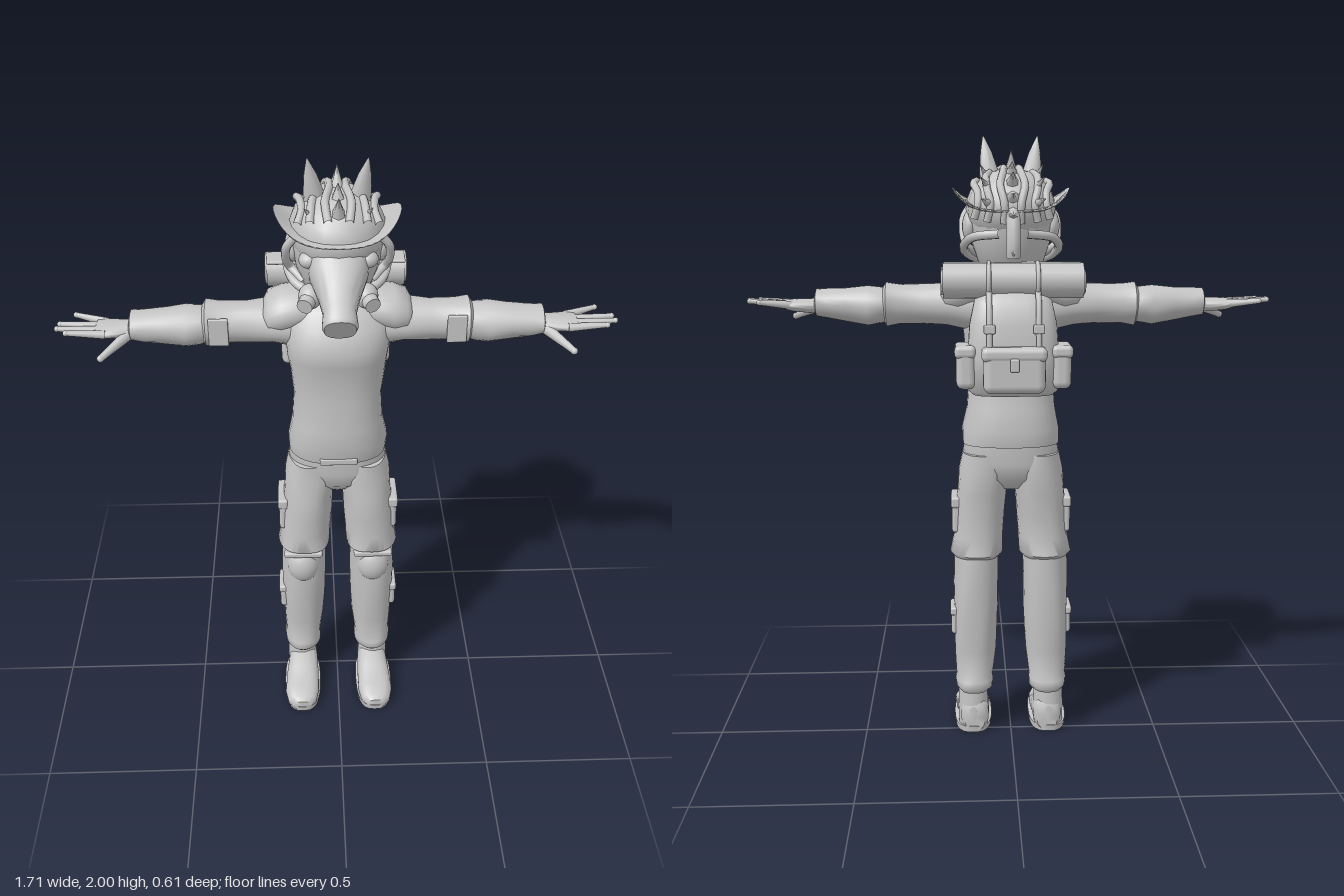
import * as THREE from 'three';
import { mergeVertices, toCreasedNormals } from 'three/addons/utils/BufferGeometryUtils.js';
import { RoundedBoxGeometry } from 'three/addons/geometries/RoundedBoxGeometry.js';

const V = (x, y, z) => new THREE.Vector3(x, y, z);

// Skin through rings [t, centreU, centreV, radiusU, radiusV]; t runs upward along the axis.
// (u, v) is (y, z) for axis x, (z, x) for axis y and (x, y) for axis z.
function loft(axis, rings, { n = 28, power = 2, fold = 0 } = {}) {
  const pos = [], index = [];
  const first = rings[0], last = rings[rings.length - 1];
  const all = [[...first.slice(0, 3), 0, 0], ...rings, [...last.slice(0, 3), 0, 0]];
  const round = (c) => Math.sign(c) * Math.abs(c) ** (2 / power);
  for (const [t, cu, cv, ru, rv] of all) {
    for (let j = 0; j < n; j++) {
      const a = (j / n) * Math.PI * 2;
      const k = 1 + fold * Math.sin(3 * a + t * 45) + fold * 0.7 * Math.sin(5 * a - t * 70);
      const u = cu + ru * k * round(Math.cos(a)), v = cv + rv * k * round(Math.sin(a));
      pos.push(...(axis === 'x' ? [t, u, v] : axis === 'y' ? [v, t, u] : [u, v, t]));
    }
  }
  for (let i = 0; i < all.length - 1; i++) {
    for (let j = 0; j < n; j++) {
      const a = i * n + j, b = i * n + (j + 1) % n;
      if (i > 0) index.push(a, b, b + n);
      if (i < all.length - 2) index.push(a, b + n, a + n);
    }
  }
  const g = new THREE.BufferGeometry();
  g.setAttribute('position', new THREE.Float32BufferAttribute(pos, 3));
  g.setIndex(index);
  return toCreasedNormals(g, 0.95);
}

// Tapered rod between two points
function rod(a, b, ra, rb, n = 10) {
  const d = b.clone().sub(a);
  const g = new THREE.CylinderGeometry(rb, ra, d.length(), n);
  g.applyQuaternion(new THREE.Quaternion().setFromUnitVectors(V(0, 1, 0), d.clone().normalize()));
  const m = a.clone().add(b).multiplyScalar(0.5);
  return g.translate(m.x, m.y, m.z);
}

const box = (w, h, d, x, y, z, r = 0.01) => new RoundedBoxGeometry(w, h, d, 3, r).translate(x, y, z);
const ball = (x, y, z, rx, ry, rz) => new THREE.SphereGeometry(1, 20, 14).scale(rx, ry, rz).translate(x, y, z);
const hose = (points, r) =>
  new THREE.TubeGeometry(new THREE.CatmullRomCurve3(points.map((p) => V(...p))), 28, r, 8);

export function createModel() {
  const model = new THREE.Group();
  model.name = 'adventurer';
  const clay = new THREE.MeshStandardMaterial({ color: 0xc4c4c4 });
  clay.name = 'light grey';

  const add = (name, geometry) => {
    const mesh = new THREE.Mesh(geometry, clay);
    mesh.name = name;
    model.add(mesh);
  };
  // Adds a left part and its mirror image
  const pair = (name, geometry) => {
    add(name + 'Left', geometry);
    const g = mergeVertices(geometry.clone()).scale(-1, 1, 1);
    const ix = g.index;
    for (let i = 0; i < ix.count; i += 3) {
      const t = ix.getX(i);
      ix.setX(i, ix.getX(i + 2));
      ix.setX(i + 2, t);
    }
    add(name + 'Right', g);
  };

  // Shirt, waist and neck
  add('shirt', loft('y', [
    [1.02, 0.015, 0, 0.122, 0.158], [1.07, 0.018, 0, 0.132, 0.16], [1.14, 0.025, 0, 0.122, 0.145],
    [1.24, 0.027, 0, 0.112, 0.138], [1.33, 0.03, 0, 0.112, 0.148], [1.38, 0.035, 0, 0.118, 0.155],
    [1.43, 0.035, 0, 0.127, 0.16], [1.49, 0.02, 0, 0.115, 0.16], [1.54, 0.005, 0, 0.095, 0.14],
    [1.575, -0.005, 0, 0.07, 0.09]], { n: 36, power: 2.4, fold: 0.006 }));
  add('neck', loft('y', [[1.52, 0, 0, 0.07, 0.08], [1.66, 0.01, 0, 0.075, 0.08]]));
  add('hips', loft('y', [
    [0.87, 0.015, 0, 0.06, 0.05], [0.91, 0.012, 0, 0.1, 0.13], [0.96, 0.012, 0, 0.11, 0.165],
    [1.04, 0.012, 0, 0.11, 0.15]], { power: 2.3 }));
  add('beltTab', box(0.12, 0.022, 0.012, 0, 1.03, 0.139, 0.004));

  // Arms: shoulder cape, torn sleeve, forearm sleeve, cuff
  pair('shoulderCape', loft('x', [
    [0.05, 1.525, 0, 0.055, 0.075], [0.11, 1.525, 0.002, 0.063, 0.092], [0.17, 1.515, 0.005, 0.07, 0.092],
    [0.21, 1.508, 0.006, 0.06, 0.08], [0.225, 1.505, 0.006, 0.035, 0.06]], { fold: 0.02 }));
  pair('upperSleeve', loft('x', [
    [0.1, 1.465, 0.005, 0.08, 0.085], [0.2, 1.475, 0.008, 0.068, 0.078], [0.28, 1.475, 0.012, 0.064, 0.066],
    [0.36, 1.475, 0.014, 0.064, 0.066], [0.4, 1.475, 0.015, 0.071, 0.077], [0.41, 1.475, 0.015, 0.055, 0.06]],
    { fold: 0.025 }));
  pair('forearmSleeve', loft('x', [
    [0.38, 1.472, 0.015, 0.052, 0.058], [0.42, 1.47, 0.015, 0.058, 0.07], [0.46, 1.468, 0.02, 0.064, 0.07],
    [0.53, 1.472, 0.025, 0.054, 0.063], [0.59, 1.475, 0.03, 0.047, 0.057], [0.625, 1.478, 0.032, 0.044, 0.055],
    [0.63, 1.478, 0.032, 0.03, 0.04]], { fold: 0.03 }));
  pair('sleevePatch', box(0.06, 0.09, 0.012, 0.36, 1.475, 0.083, 0.004));

  // Hands
  pair('palm', loft('x', [
    [0.6, 1.47, 0.033, 0.024, 0.032], [0.65, 1.468, 0.035, 0.023, 0.042], [0.7, 1.47, 0.037, 0.02, 0.053],
    [0.73, 1.472, 0.037, 0.014, 0.048]]));
  const fingers = [[0.08, 0.815, 0.088], [0.054, 0.845, 0.06], [0.028, 0.84, 0.03], [0.002, 0.8, -0.028]];
  fingers.forEach(([z, x, tipZ], i) => {
    pair('finger' + (i + 1), rod(V(0.7, 1.472, z), V(x, 1.483, tipZ), 0.014, 0.008));
    pair('fingertip' + (i + 1), ball(x, 1.483, tipZ, 0.009, 0.009, 0.009));
  });
  pair('thumb', rod(V(0.635, 1.46, 0.06), V(0.71, 1.425, 0.142), 0.018, 0.01));
  pair('thumbTip', ball(0.71, 1.425, 0.142, 0.011, 0.011, 0.011));

  // Trousers with layered hems
  pair('upperTrouser', loft('y', [
    [0.63, 0.025, 0.115, 0.09, 0.075], [0.645, 0.026, 0.114, 0.108, 0.088], [0.7, 0.027, 0.11, 0.1, 0.083],
    [0.78, 0.028, 0.103, 0.105, 0.084], [0.86, 0.02, 0.097, 0.107, 0.082], [0.93, 0.014, 0.088, 0.108, 0.085],
    [0.99, 0.012, 0.085, 0.105, 0.075]], { fold: 0.018, power: 2.3 }));
  pair('lowerTrouser', loft('y', [
    [0.15, 0.018, 0.125, 0.07, 0.05], [0.165, 0.018, 0.125, 0.082, 0.063], [0.19, 0.018, 0.125, 0.08, 0.064],
    [0.205, 0.02, 0.124, 0.073, 0.062], [0.3, 0.02, 0.122, 0.08, 0.07], [0.42, 0.023, 0.12, 0.09, 0.074],
    [0.53, 0.025, 0.118, 0.094, 0.076], [0.65, 0.025, 0.115, 0.092, 0.075]], { fold: 0.018, power: 2.3 }));
  pair('kneePad', ball(0.12, 0.565, 0.085, 0.056, 0.07, 0.05));
  pair('kneeStrap', box(0.13, 0.022, 0.03, 0.118, 0.63, 0.112, 0.008));
  for (const [name, y, h, d, x] of [['thighPocket', 0.775, 0.12, 0.115, 0.182], ['shinPocket', 0.4, 0.095, 0.09, 0.188]]) {
    pair(name, box(0.03, h, d, x, y, 0.028, 0.012));
    pair(name + 'Flap', box(0.034, h * 0.3, d + 0.012, x + 0.001, y + h * 0.38, 0.028, 0.008));
  }

  // Boots
  pair('bootShaft', loft('y', [
    [0.02, 0.015, 0.13, 0.05, 0.05], [0.08, 0.018, 0.13, 0.055, 0.052], [0.13, 0.015, 0.13, 0.045, 0.05],
    [0.19, 0.015, 0.128, 0.045, 0.048]]));
  pair('bootFoot', loft('z', [
    [-0.035, 0.125, 0.052, 0.035, 0.045], [-0.02, 0.125, 0.06, 0.047, 0.058], [0.05, 0.127, 0.062, 0.053, 0.06],
    [0.11, 0.13, 0.045, 0.058, 0.045], [0.18, 0.133, 0.034, 0.06, 0.034], [0.225, 0.133, 0.03, 0.05, 0.028],
    [0.245, 0.133, 0.026, 0.03, 0.02]], { power: 2.5 }));
  pair('bootSole', loft('y', [
    [0, 0.105, 0.13, 0.14, 0.063], [0.022, 0.105, 0.13, 0.143, 0.065], [0.024, 0.105, 0.13, 0.135, 0.058]],
    { power: 2.8 }));

  // Head, long muzzle and breathing mask
  add('head', loft('y', [
    [1.57, 0.005, 0, 0.08, 0.075], [1.61, 0.005, 0, 0.11, 0.105], [1.67, 0.01, 0, 0.14, 0.125],
    [1.74, 0.01, 0, 0.155, 0.135], [1.8, 0.01, 0, 0.155, 0.135]]));
  add('muzzle', loft('z', [
    [-0.06, 0, 0, 0.1, 0.09], [0.04, 0, 0.002, 0.085, 0.08], [0.11, 0, -0.002, 0.06, 0.062],
    [0.16, 0, -0.002, 0.048, 0.052], [0.2, 0, -0.003, 0.052, 0.053], [0.212, 0, -0.003, 0.046, 0.047]],
    { power: 2.5 }).rotateX(0.58).translate(0, 1.7, 0.1));
  pair('nostril', ball(0.026, 1.615, 0.278, 0.013, 0.016, 0.014));
  pair('eye', ball(0.085, 1.725, 0.115, 0.03, 0.025, 0.03));
  pair('filter', ball(0.083, 1.6, 0.1, 0.035, 0.038, 0.04));
  pair('filterCap', rod(V(0.085, 1.6, 0.11), V(0.1, 1.592, 0.15), 0.026, 0.024, 16));
  pair('filterHose', hose([[0.09, 1.61, 0.09], [0.135, 1.63, 0.04], [0.15, 1.66, -0.04], [0.12, 1.69, -0.12], [0.04, 1.7, -0.165]], 0.014));
  pair('cheekHose', hose([[0.12, 1.79, 0.09], [0.148, 1.75, 0.08], [0.152, 1.7, 0.05], [0.14, 1.66, 0.02], [0.1, 1.63, 0.06]], 0.013));
  pair('earCup', ball(0.13, 1.72, 0.0, 0.025, 0.05, 0.05));

  // Helmet with a brim turned up at the sides
  add('helmet', ball(0, 1.775, 0.005, 0.143, 0.125, 0.168));
  const brim = new THREE.LatheGeometry(
    [[0.12, 0], [0.15, -0.004], [0.183, 0], [0.186, 0.006], [0.15, 0.006], [0.12, 0.012]].map((p) => new THREE.Vector2(...p)), 48);
  const bp = brim.attributes.position;
  for (let i = 0; i < bp.count; i++) {
    const x = bp.getX(i), z = bp.getZ(i);
    bp.setY(i, bp.getY(i) + 1.772 + 0.055 * (x / 0.18) ** 4 + 0.1 * z * (z > 0 ? 1 : 0.4));
    bp.setZ(i, z + 0.01);
  }
  brim.computeVertexNormals();
  add('brim', brim);

  // Horn-like ears, crest of spikes and cords over the helmet
  pair('ear', loft('y', [
    [1.84, 0.015, 0.062, 0.03, 0.034], [1.89, 0.02, 0.068, 0.028, 0.03], [1.95, 0.034, 0.077, 0.016, 0.018],
    [2.0, 0.047, 0.086, 0.002, 0.002]], { n: 12 }));
  for (let i = 0; i < 8; i++) {
    const a = 0.75 - i * 0.4, s = Math.sin(a), c = Math.cos(a);
    const base = V(0, 1.77 + 0.12 * c, 0.005 + 0.162 * s);
    const lean = V(0, c, s - 0.35).normalize().multiplyScalar(i % 2 ? 0.05 : 0.068);
    add('crestSpike' + (i + 1), rod(base, base.clone().add(lean), 0.022, 0.001, 6));
  }
  for (let i = 0; i < 5; i++) {
    const a = 0.7 - i * 0.5;
    const base = V(0.075, 1.765 + 0.105 * Math.cos(a), 0.145 * Math.sin(a));
    pair('sideSpike' + (i + 1), rod(base, base.clone().add(V(0.022, 0.045 * Math.cos(a), 0.05 * Math.sin(a) - 0.012)), 0.013, 0.001, 6));
  }
  for (const [k, w] of [0.03, 0.075, 0.11].entries()) {
    const pts = [];
    for (let i = 0; i <= 6; i++) {
      const a = 0.95 - i * 0.48;
      const r = Math.sqrt(1 - (w / 0.147) ** 2);
      pts.push([w + 0.008 * Math.sin(i * 2 + k), 1.775 + 0.128 * r * Math.cos(a), 0.005 + 0.172 * r * Math.sin(a)]);
    }
    pair('helmetCord' + (k + 1), hose(pts, 0.012));
  }
  add('tailLock', hose([[0, 1.76, -0.16], [0, 1.71, -0.178], [0, 1.66, -0.185], [0, 1.63, -0.18]], 0.022));
  add('tailSpike', rod(V(0, 1.68, -0.17), V(0, 1.635, -0.21), 0.024, 0.001, 6));

  // Backpack with pockets and straps
  add('backpack', loft('y', [
    [1.21, -0.165, 0, 0.07, 0.125], [1.225, -0.17, 0, 0.085, 0.14], [1.33, -0.172, 0, 0.09, 0.142],
    [1.43, -0.17, 0, 0.085, 0.135], [1.5, -0.16, 0, 0.075, 0.12], [1.53, -0.155, 0, 0.05, 0.09]],
    { power: 3.2, n: 40 }));
  add('backPocket', box(0.19, 0.13, 0.07, 0, 1.29, -0.26, 0.025));
  add('backPocketFlap', box(0.2, 0.045, 0.076, 0, 1.345, -0.26, 0.018));
  add('pocketBuckle', box(0.028, 0.04, 0.014, 0, 1.315, -0.301, 0.005));
  pair('sidePocket', box(0.06, 0.125, 0.12, 0.147, 1.295, -0.185, 0.022));
  pair('sidePocketFlap', box(0.066, 0.04, 0.126, 0.149, 1.348, -0.185, 0.015));
  pair('packStrap', hose([[0.075, 1.35, -0.265], [0.075, 1.43, -0.257], [0.075, 1.5, -0.236], [0.075, 1.54, -0.2]], 0.009));
  pair('strapBuckle', box(0.035, 0.028, 0.016, 0.075, 1.42, -0.262, 0.005));
  pair('shoulderStrap', hose([[0.09, 1.5, -0.13], [0.1, 1.575, -0.06], [0.1, 1.585, 0], [0.105, 1.55, 0.07]], 0.013));

  // Rolled blanket with a spiral showing at each end
  add('bedroll', rod(V(-0.215, 1.56, -0.17), V(0.215, 1.56, -0.17), 0.054, 0.054, 24));
  add('bedrollFlap', box(0.43, 0.012, 0.075, 0, 1.608, -0.145, 0.005));
  const spiral = [];
  for (let i = 0; i <= 24; i++) {
    const a = i * 0.6, r = 0.006 + i * 0.0018;
    spiral.push([0.217, 1.56 + r * Math.sin(a), -0.17 + r * Math.cos(a)]);
  }
  const coil = new THREE.TubeGeometry(new THREE.CatmullRomCurve3(spiral.map((p) => V(...p))), 90, 0.005, 6);
  pair('bedrollCoil', coil);
  pair('bedrollBand', new THREE.TorusGeometry(0.055, 0.007, 8, 24).rotateY(Math.PI / 2).translate(0.075, 1.56, -0.17));
  return model;
}
